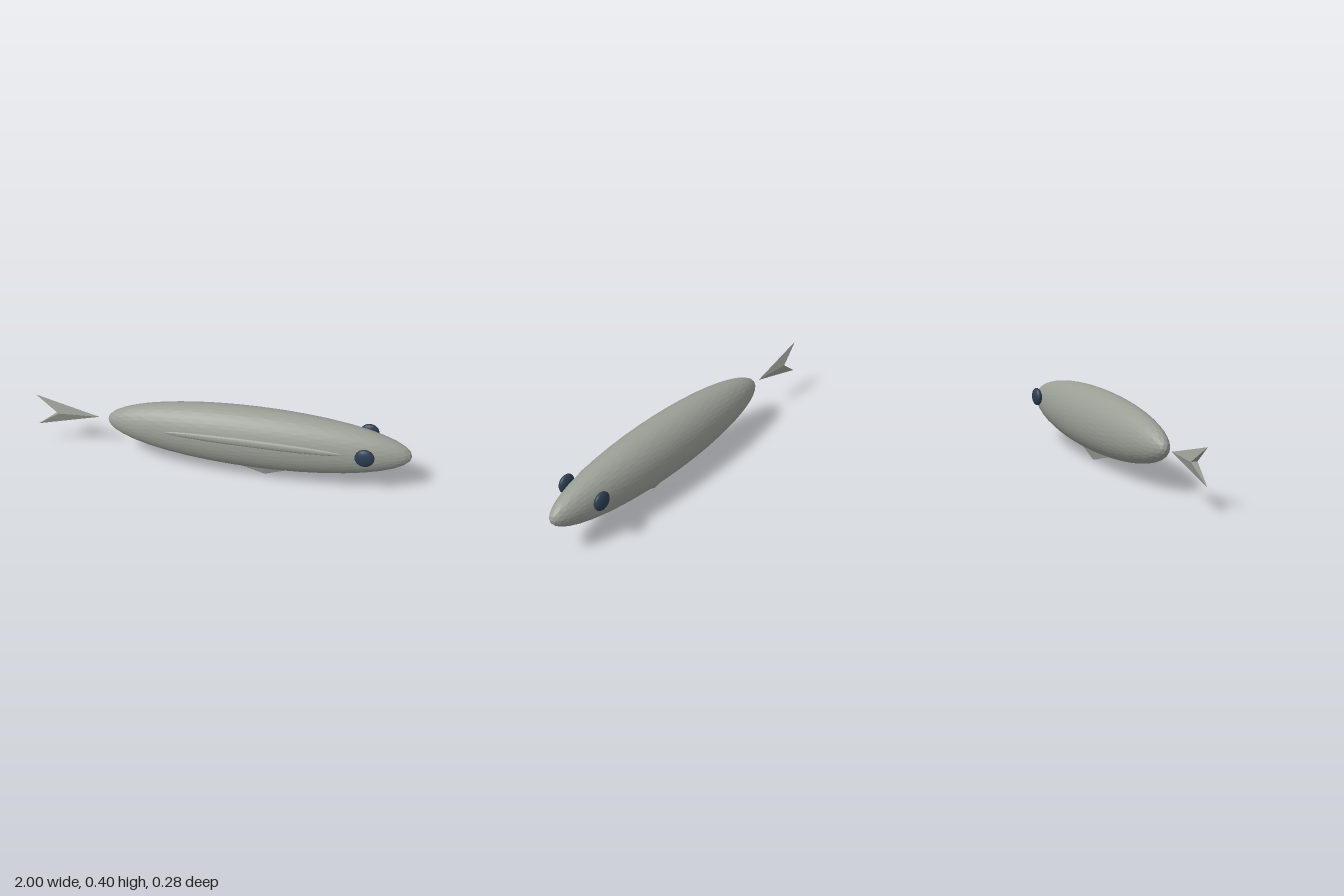
import * as THREE from 'three';

export function createModel() {
  const model = new THREE.Group();
  model.name = 'fish';

  const skin = new THREE.MeshStandardMaterial({ color: 0x9a9f96, flatShading: true });
  skin.name = 'grey skin';
  const eyeBlue = new THREE.MeshStandardMaterial({ color: 0x2c3e50, flatShading: true });
  eyeBlue.name = 'dark blue eye';

  const add = (name, geometry, material) => {
    const mesh = new THREE.Mesh(geometry, material);
    mesh.name = name;
    model.add(mesh);
    return mesh;
  };

  // Faceted sphere stretched to the given radii
  const ellipsoid = (name, radii, centre, material, detail) => {
    const geometry = new THREE.IcosahedronGeometry(1, detail);
    geometry.scale(...radii);
    add(name, geometry, material).position.set(...centre);
  };

  // Flat-faced solid from corner points and triangles
  const solid = (name, points, faces) => {
    const geometry = new THREE.BufferGeometry();
    geometry.setAttribute('position',
      new THREE.Float32BufferAttribute(faces.flat().flatMap((i) => points[i]), 3));
    geometry.computeVertexNormals();
    add(name, geometry, skin);
  };

  // Body, and the long fin lying along its left-hand flank in the front view
  ellipsoid('body', [0.8, 0.171, 0.131], [0.195, 0.233, 0], skin, 7);
  ellipsoid('sideFin', [0.464, 0.023, 0.013], [0.193, 0.276, 0.121], skin, 7);

  // Eyes
  for (const side of [1, -1]) {
    ellipsoid(side > 0 ? 'frontEye' : 'backEye', [0.05, 0.05, 0.0235],
      [0.764, 0.27, side * 0.1145], eyeBlue, 7);
  }

  // Forked tail: root, upper tip, lower tip and the two sides of the notch
  solid('tail', [
    [-0.655, 0.233, 0], [-1, 0.327, 0], [-1, 0.139, 0],
    [-0.875, 0.233, 0.018], [-0.875, 0.233, -0.018],
  ], [[0, 1, 3], [0, 3, 2], [0, 4, 1], [0, 2, 4], [1, 4, 3], [2, 3, 4]]);

  // Belly fin: a thin pyramid pointing down, its base hidden in the body
  solid('bellyFin', [
    [0.24, 0, 0], [0.48, 0.085, 0], [0.24, 0.085, 0.023],
    [-0.06, 0.085, 0], [0.24, 0.085, -0.023],
  ], [[0, 1, 2], [0, 2, 3], [0, 3, 4], [0, 4, 1], [1, 4, 2], [2, 4, 3]]);

  return model;
}
